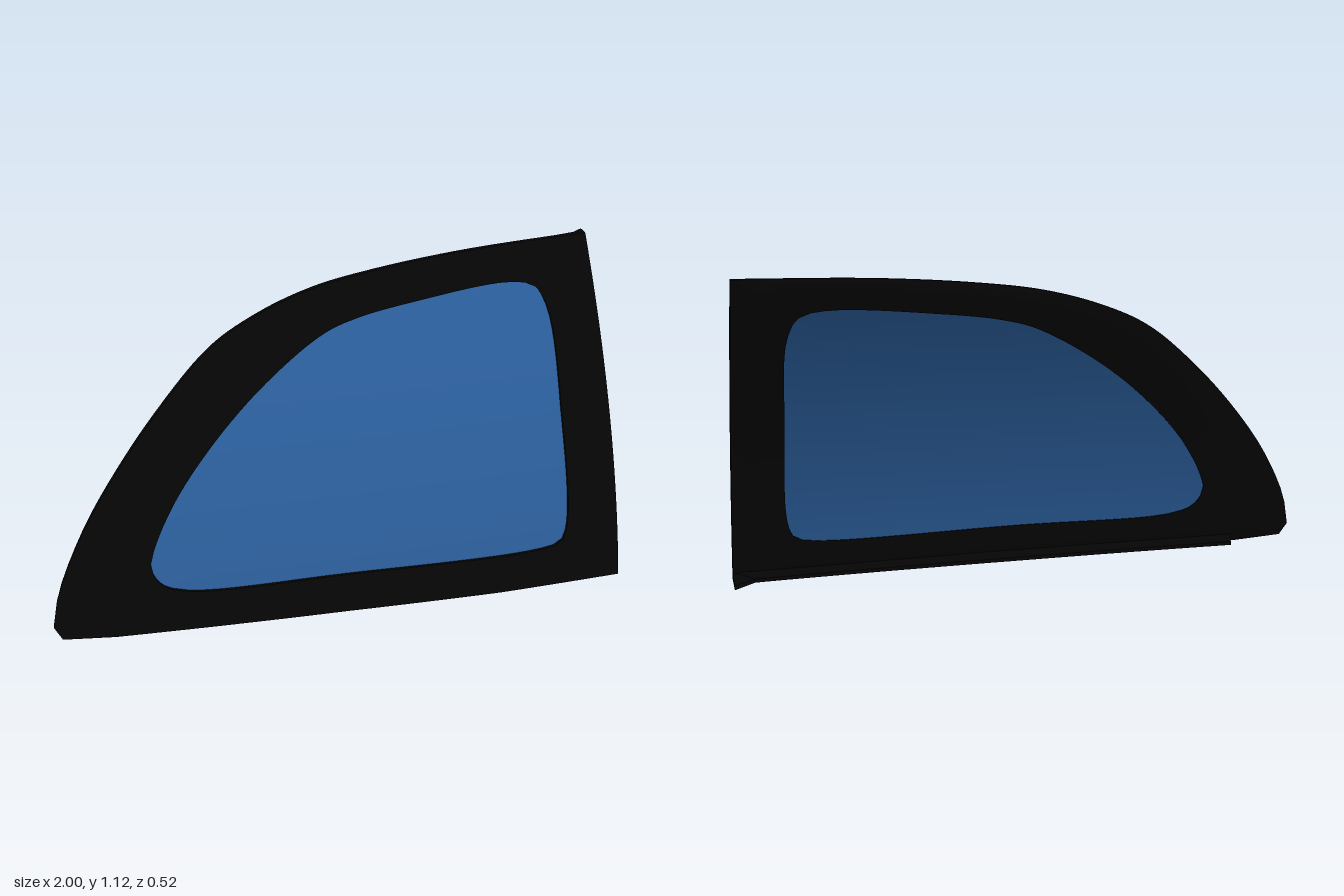
import * as THREE from 'three';
import { mergeVertices } from 'three/addons/utils/BufferGeometryUtils.js';

const CENTRE = [0.15, 0.5];
const { smoothstep } = THREE.MathUtils;

// Curved sheet: leans back with height and sweeps back toward the pointed end
const sheetZ = (x, y) => 0.263 - 0.1935 * y - 0.2096 * y * y - 0.0215 * (1 - x) ** 2;
const thickness = (x) => 0.012 + 0.026 * smoothstep(x, -1, -0.8);

const spline = (pts, closed, n) =>
  new THREE.CatmullRomCurve3(pts.map(([x, y]) => new THREE.Vector3(x, y, 0)), closed, 'centripetal')
    .getPoints(n).map((p) => [p.x, p.y]);

// Outer outline: arched top, straight rear edge, gently falling bottom
const outer = [
  ...spline([[-1, 0.11], [-0.97, 0.225], [-0.875, 0.4], [-0.75, 0.565], [-0.58, 0.745], [-0.375, 0.915],
    [-0.2, 0.997], [0, 1.055], [0.22, 1.087], [0.55, 1.113], [1, 1.125]], false, 80),
  [1, 0.005], [0.55, 0.01], [0, 0.03], [-0.8, 0.052], [-0.975, 0.066],
];

// Rounded outline of the glass opening
const inner = spline([[-0.66, 0.27], [-0.64, 0.335], [-0.55, 0.48], [-0.39, 0.65], [-0.2, 0.8], [0.01, 0.92],
  [0.13, 0.955], [0.33, 0.983], [0.7, 1.008], [0.785, 0.985], [0.82, 0.91], [0.822, 0.59], [0.81, 0.215],
  [0.785, 0.16], [0.715, 0.143], [0, 0.16], [-0.55, 0.178], [-0.63, 0.21]], true, 150);

const angleOf = ([x, y]) => Math.atan2(y - CENTRE[1], x - CENTRE[0]);

// Directions around the centre, including the exact outline corners
const corners = [[1, 1.125], [1, 0.005], [-0.8, 0.052], [-0.975, 0.066], [-1, 0.11]];
const angles = [...Array.from({ length: 144 }, (_, i) => -Math.PI + (i / 144) * Math.PI * 2),
  ...corners.map(angleOf)].sort((a, b) => a - b);

// Point where a ray from the centre crosses a closed outline
function rayHit(loop, a) {
  const dx = Math.cos(a), dy = Math.sin(a);
  let best = 0;
  loop.forEach((p, i) => {
    const q = loop[(i + 1) % loop.length];
    const px = p[0] - CENTRE[0], py = p[1] - CENTRE[1];
    const ex = q[0] - p[0], ey = q[1] - p[1];
    const det = dx * ey - dy * ex;
    if (Math.abs(det) < 1e-9) return;
    const t = (px * ey - py * ex) / det;
    const s = (px * dy - py * dx) / det;
    if (s >= -1e-6 && s <= 1 + 1e-6 && t > best) best = t;
  });
  return [CENTRE[0] + dx * best, CENTRE[1] + dy * best];
}

// Grid of points to an indexed surface, wrapping around the columns
function gridGeometry(rows, flip) {
  const n = rows[0].length, idx = [];
  for (let i = 0; i < rows.length - 1; i++) {
    for (let j = 0; j < n; j++) {
      const k = (j + 1) % n;
      const a = i * n + j, b = (i + 1) * n + j, c = (i + 1) * n + k, d = i * n + k;
      idx.push(...(flip ? [a, c, b, a, d, c] : [a, b, c, a, c, d]));
    }
  }
  const g = new THREE.BufferGeometry();
  g.setAttribute('position', new THREE.Float32BufferAttribute(rows.flat(2), 3));
  g.setIndex(idx);
  const welded = mergeVertices(g, 1e-5);
  welded.computeVertexNormals();
  return welded;
}

// Solid ring of the curved sheet between two outlines; thin(x, t) slims it from inside (t=0) to outside (t=1)
function slab(name, loopIn, loopOut, rings, recess, thin, material) {
  const rows = Array.from({ length: rings + 1 }, (_, i) => loopIn.map((p, j) => {
    const q = loopOut[j], t = i / rings;
    return [p[0] + (q[0] - p[0]) * t, p[1] + (q[1] - p[1]) * t];
  }));
  const front = rows.map((r) => r.map(([x, y]) => [x, y, sheetZ(x, y) - recess]));
  const back = rows.map((r, i) => r.map(([x, y]) =>
    [x, y, sheetZ(x, y) - thickness(x) * thin(x, i / rings) + recess / 2]));
  const group = new THREE.Group();
  group.name = name;
  const add = (part, grid, flip) => {
    const mesh = new THREE.Mesh(gridGeometry(grid, flip), material);
    mesh.name = name + part;
    group.add(mesh);
  };
  add('Front', front, false);
  add('Back', back, true);
  add('OuterEdge', [front[rings], back[rings]], false);
  add('InnerEdge', [front[0], back[0]], true);
  return group;
}

// Slim flange behind the bottom edge, with a small spur at the rear corner
function bottomFlange(material) {
  const steps = 24, rows = [];
  for (let i = 0; i <= steps; i++) {
    const x = -0.78 + 1.78 * (i / steps);
    const y = x < 0 ? 0.03 - 0.0275 * x : 0.03 - 0.025 * x;
    const z = sheetZ(x, y), flare = smoothstep(x, 0.92, 1);
    const depth = 0.055 + 0.065 * flare;
    rows.push([[x, y, z - 0.004], [x, y - 0.005, z - depth],
      [x, y + 0.008, z - depth + 0.008 * flare], [x, y + 0.035, z - 0.035]]);
  }
  // Close both ends onto their middle points
  const cap = (r) => r.map(() => [0, 1, 2].map((k) => r.reduce((s, p) => s + p[k], 0) / r.length));
  const g = gridGeometry([cap(rows[0]), ...rows, cap(rows[steps])], false).toNonIndexed();
  g.computeVertexNormals();
  const mesh = new THREE.Mesh(g, material);
  mesh.name = 'bottomFlange';
  return mesh;
}

export function createModel() {
  const black = new THREE.MeshStandardMaterial({ color: 0x050505, side: THREE.DoubleSide });
  const blue = new THREE.MeshStandardMaterial({ color: 0x2a5c98, side: THREE.DoubleSide });
  const outerLoop = angles.map((a) => rayHit(outer, a));
  const innerLoop = angles.map((a) => rayHit(inner, a));
  const centreLoop = angles.map(() => CENTRE);
  // The frame slims toward its rim, except along the straight rear edge
  const rimTaper = (x, t) => 1 - 0.6 * t ** 5 * (1 - smoothstep(x, 0.95, 1));

  const model = new THREE.Group();
  model.name = 'quarterWindow';
  model.add(
    slab('frame', innerLoop, outerLoop, 6, 0, rimTaper, black),
    slab('glass', centreLoop, innerLoop, 10, 0.01, () => 1, blue),
    bottomFlange(black),
  );
  return model;
}
